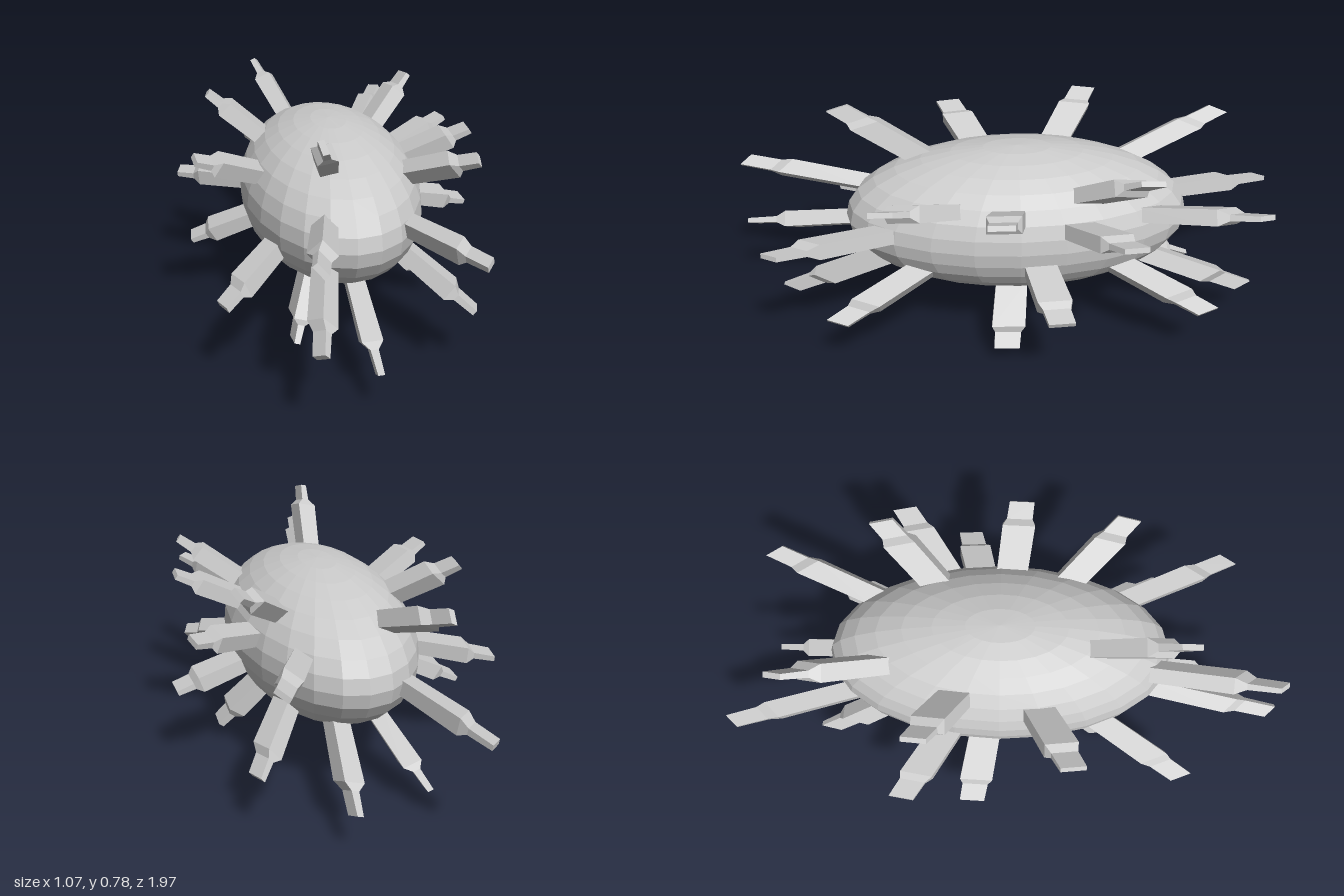
import * as THREE from 'three';

const CENTRE = new THREE.Vector3(0.01, 0.415, 0);
const RADII = new THREE.Vector3(0.315, 0.258, 0.607);

// Tips of the spikes; each spike runs from the body centre towards its tip.
const TIPS = [
  // front half
  [-0.10, 0.78, 0.63], [-0.16, 0.55, 0.98], [-0.16, 0.29, 0.98], [-0.42, 0.29, 0.66],
  [-0.48, 0.63, 0.25], [-0.16, 0.02, 0.38], [0.04, 0.12, 0.84], [0.38, 0.21, 0.61],
  [0.36, 0.46, 0.82], [0.43, 0.65, 0.45], [0.49, 0.63, 0.07], [0.36, 0.07, 0.05],
  // back half
  [-0.41, 0.71, -0.28], [-0.20, 0.72, -0.79], [-0.54, 0.38, -0.35], [-0.50, 0.20, -0.10],
  [-0.26, 0.38, -0.98], [-0.18, 0.08, -0.65], [0.125, 0.13, -0.84], [0.34, 0.55, -0.82],
  [0.385, 0.20, -0.65], [0.39, 0.72, -0.43], [0.52, 0.55, -0.36], [0.535, 0.29, -0.12],
];

// Cross-sections along a spike on a unit sphere: distance, thickness, width.
const SECTIONS = [
  [0.93, 0.19, 0.18],
  [1.50, 0.21, 0.19],
  [1.57, 0.08, 0.15],
  [1.77, 0.065, 0.145],
];

// Box with four rows of corners, each row moved to its cross-section.
function spikeGeometry() {
  const geo = new THREE.BoxGeometry(1, 1, 1, 1, 3, 1);
  const pos = geo.attributes.position;
  for (let i = 0; i < pos.count; i++) {
    const [dist, thick, width] = SECTIONS[Math.round((pos.getY(i) + 0.5) * 3)];
    pos.setXYZ(i, pos.getX(i) * thick, dist, pos.getZ(i) * width);
  }
  return geo;
}

export function createModel() {
  const model = new THREE.Group();
  model.name = 'spikedPod';
  const material = new THREE.MeshStandardMaterial({ color: 0xcccccc, flatShading: true });

  const add = (geo, name) => {
    geo.scale(RADII.x, RADII.y, RADII.z);
    geo.computeVertexNormals();
    const mesh = new THREE.Mesh(geo, material);
    mesh.name = name;
    mesh.position.copy(CENTRE);
    model.add(mesh);
  };

  // Ellipsoid body
  add(new THREE.SphereGeometry(1, 24, 16), 'body');

  // Radial spikes, their wide side lying along the length of the body
  const forward = new THREE.Vector3(0, 0, 1);
  TIPS.forEach((tip, i) => {
    const dir = new THREE.Vector3(...tip).sub(CENTRE).divide(RADII).normalize();
    const thin = new THREE.Vector3().crossVectors(dir, forward).normalize();
    const wide = new THREE.Vector3().crossVectors(thin, dir);
    const geo = spikeGeometry();
    geo.applyMatrix4(new THREE.Matrix4().makeBasis(thin, dir, wide));
    add(geo, `spike${i + 1}`);
  });

  return model;
}
